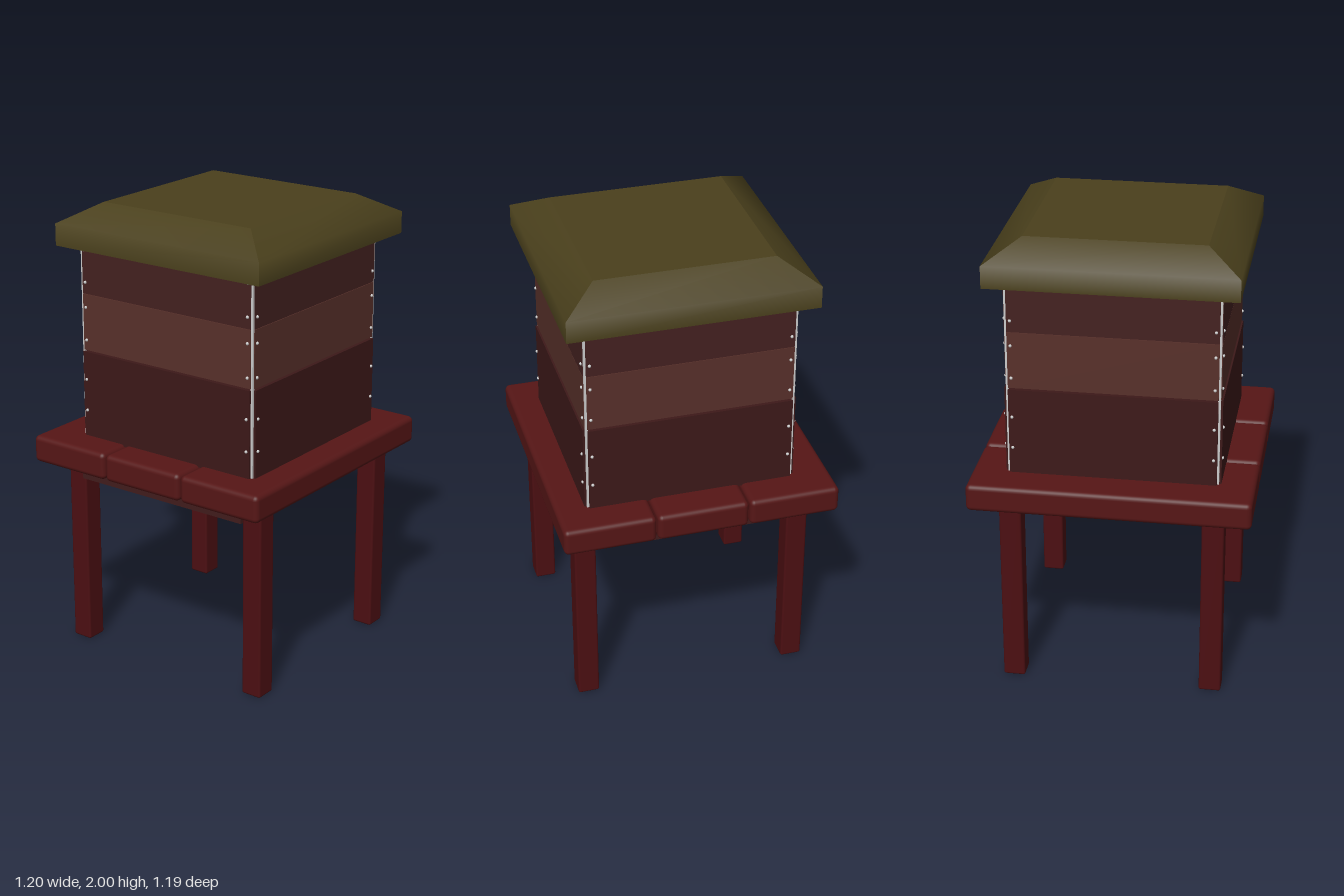
import * as THREE from 'three';
import { RoundedBoxGeometry } from 'three/addons/geometries/RoundedBoxGeometry.js';

const mat = (color, side = THREE.FrontSide) => new THREE.MeshStandardMaterial({ color, side });
const roofMat = mat(0x4a401c);
const plankMat = mat(0x561616);
const legMat = mat(0x4c0f12);
const railMat = mat(0x421c1c);
const metalMat = mat(0xcccccc);

function add(parent, name, geometry, material, x, y, z) {
  const mesh = new THREE.Mesh(geometry, material);
  mesh.name = name;
  mesh.position.set(x, y, z);
  parent.add(mesh);
  return mesh;
}

// Hipped roof: each side is smooth along its profile, with sharp mitred corners
function roofGeometry() {
  const profile = [[0, 1.82], [0.523, 1.82], [0.523, 1.82], [0.523, 1.915], [0.378, 2.0], [0.378, 2.0], [0, 2.0]];
  const pos = [], idx = [];
  for (let s = 0; s < 4; s++) {
    const c = Math.round(Math.cos(s * Math.PI / 2)), n = Math.round(Math.sin(s * Math.PI / 2));
    const start = pos.length / 3;
    for (const [r, y] of profile) {
      for (const t of [-r, r]) pos.push(r * n + t * c, y, r * c - t * n);
    }
    for (let i = 0; i < profile.length - 1; i++) {
      if (i === 1 || i === 4) continue; // doubled points keep the rim edges sharp
      const a = start + i * 2;
      idx.push(a, a + 1, a + 3, a, a + 3, a + 2);
    }
  }
  const g = new THREE.BufferGeometry();
  g.setAttribute('position', new THREE.Float32BufferAttribute(pos, 3));
  g.setIndex(idx);
  g.computeVertexNormals();
  return g;
}

export function createModel() {
  const model = new THREE.Group();
  model.name = 'beehiveOnTable';

  // Table: three planks, four legs, two side rails
  const table = new THREE.Group();
  table.name = 'table';
  model.add(table);
  for (const z of [-0.402, -0.002, 0.398]) {
    add(table, 'tablePlank', new RoundedBoxGeometry(1.2, 0.12, 0.394, 3, 0.022), plankMat, 0, 0.914, z);
  }
  for (const x of [-0.432, 0.432]) {
    for (const z of [0.482, -0.456]) {
      add(table, 'tableLeg', new RoundedBoxGeometry(0.095, 0.87, 0.093, 2, 0.009), legMat, x, 0.435, z);
    }
    add(table, 'sideRail', new THREE.BoxGeometry(0.04, 0.08, 0.85), railMat, Math.sign(x) * 0.475, 0.825, 0.013);
  }

  // Hive: three stacked boxes of four boards each, with screws at the board ends
  const hive = new THREE.Group();
  hive.name = 'hive';
  hive.position.z = 0.014;
  model.add(hive);
  const tiers = [
    { name: 'lowerBox', y0: 0.965, y1: 1.354, out: 0.456, color: 0x3d1919, screws: [1.09, 1.23] },
    { name: 'middleBox', y0: 1.36, y1: 1.608, out: 0.45, color: 0x58302a, screws: [1.405, 1.55] },
    { name: 'upperBox', y0: 1.61, y1: 1.83, out: 0.45, color: 0x442120, screws: [1.66, 1.8] },
  ];
  const screwGeo = new THREE.SphereGeometry(0.007, 10, 6);
  for (const { name, y0, y1, out, color, screws } of tiers) {
    const box = new THREE.Group();
    box.name = name;
    hive.add(box);
    const boardMat = mat(color);
    for (let s = 0; s < 4; s++) {
      const side = new THREE.Group();
      side.name = 'boxSide';
      side.rotation.y = s * Math.PI / 2;
      box.add(side);
      add(side, 'board', new THREE.BoxGeometry(0.876, y1 - y0, 0.03), boardMat, 0, (y0 + y1) / 2, out - 0.015);
      for (const y of screws) {
        for (const x of [-0.423, 0.423]) add(side, 'screw', screwGeo, metalMat, x, y, out + 0.001);
      }
    }
  }

  // Metal strips in the corner gaps
  for (const x of [-0.441, 0.441]) {
    for (const z of [-0.441, 0.441]) {
      add(hive, 'cornerStrip', new THREE.BoxGeometry(0.012, 0.85, 0.012), metalMat, x, 1.4, z);
    }
  }

  add(model, 'roof', roofGeometry(), roofMat, 0, 0, 0.02);
  return model;
}
